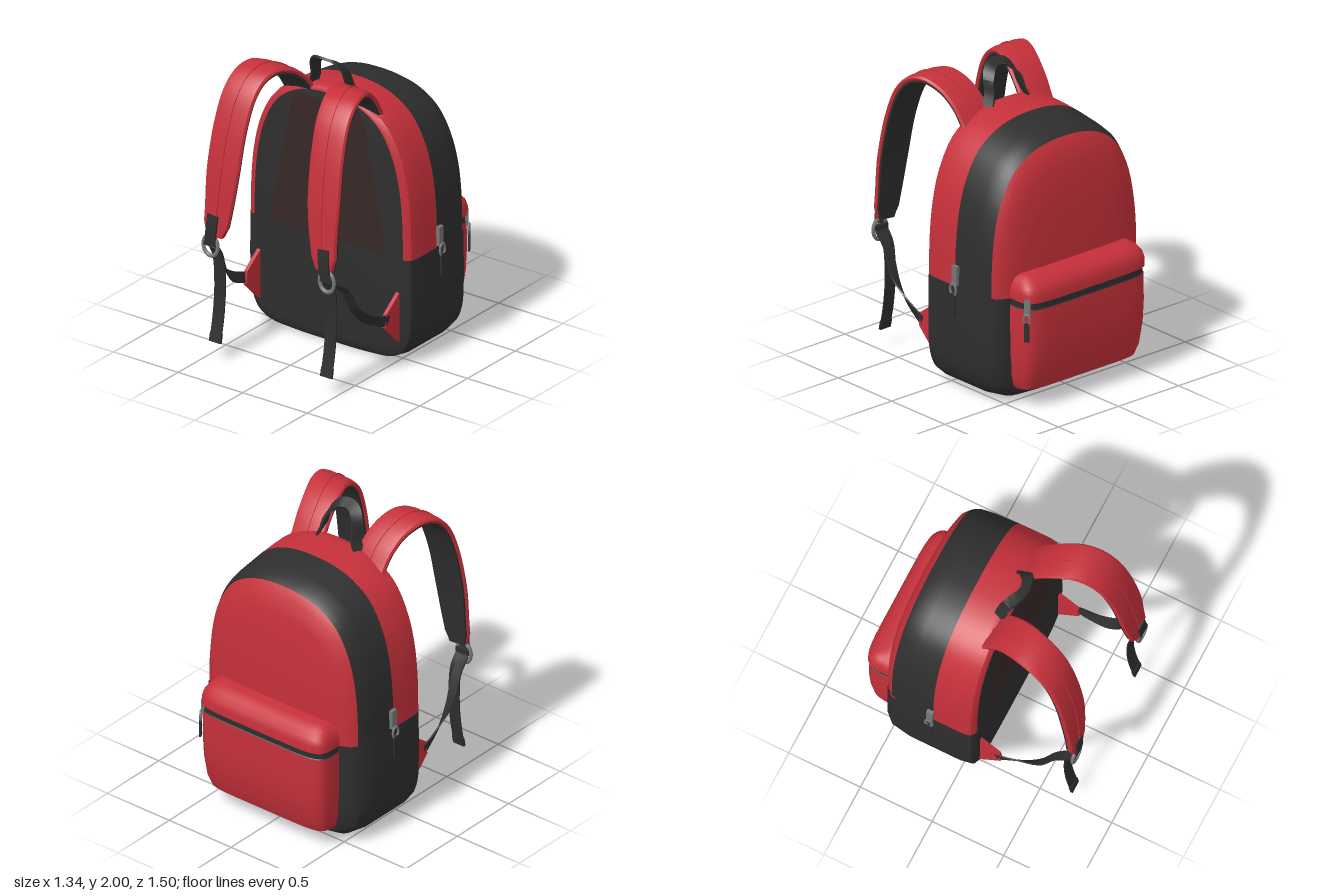
import * as THREE from 'three';
import { toCreasedNormals } from 'three/addons/utils/BufferGeometryUtils.js';

const mat = (name, color) => new THREE.MeshStandardMaterial({ name, color, side: THREE.DoubleSide });
const V = (x, y, z) => new THREE.Vector3(x, y, z);

// Skin a surface over a list of equal-length rings of points
function loft(rings, closed = false, crease = 0.6) {
  const n = rings[0].length, pos = [], idx = [];
  rings.forEach(r => r.forEach(p => pos.push(p.x, p.y, p.z)));
  for (let i = 0; i < rings.length - 1; i++) {
    for (let j = 0; j < (closed ? n : n - 1); j++) {
      const a = i * n + j, b = i * n + (j + 1) % n;
      idx.push(a, b, a + n, b, b + n, a + n);
    }
  }
  const g = new THREE.BufferGeometry();
  g.setAttribute('position', new THREE.Float32BufferAttribute(pos, 3));
  g.setIndex(idx);
  return toCreasedNormals(g, crease);
}

const RECT = [[-0.5, -0.5], [0.5, -0.5], [0.5, 0.5], [-0.5, 0.5]];
const PADDED = [[-0.47, -0.5], [0.47, -0.5], [0.5, -0.1], [0.46, 0.3], [0.3, 0.5],
  [-0.3, 0.5], [-0.46, 0.3], [-0.5, -0.1]];

// Sweep a flat section along a path; dir(t) is the width direction
function ribbon(points, { width, thick, dir = () => V(1, 0, 0), offset = 0, section = RECT, steps = 24 }) {
  const curve = new THREE.CatmullRomCurve3(points.map(p => V(...p)));
  const rings = [];
  for (let i = 0; i <= steps; i++) {
    const t = i / steps, p = curve.getPoint(t), T = curve.getTangent(t);
    const W = dir(t).addScaledVector(T, -dir(t).dot(T)).normalize();
    const N = T.clone().cross(W);
    const w = typeof width === 'function' ? width(t) : width;
    const c = p.clone().addScaledVector(N, offset);
    const ring = section.map(([u, v]) => c.clone().addScaledVector(W, u * w).addScaledVector(N, v * thick));
    const cap = section.map(() => c.clone());
    if (i === 0) rings.push(cap);
    rings.push(ring);
    if (i === steps) rings.push(cap);
  }
  return loft(rings, true);
}

// Half outlines of the body above and below the seam, mirrored across x
const SEAM = 0.73;
function outline(half) {
  const pts = [...half, ...half.slice(0, -1).reverse().map(([x, y]) => [-x, y])];
  return new THREE.CatmullRomCurve3(pts.map(([x, y]) => V(x, y, 0))).getPoints(48);
}
const UPPER = outline([[0.632, SEAM], [0.625, 1.0], [0.6, 1.22], [0.545, 1.42], [0.44, 1.6], [0.3, 1.7], [0.15, 1.745], [0, 1.755]]);
const LOWER = outline([[0.632, SEAM], [0.635, 0.4], [0.622, 0.2], [0.57, 0.08], [0.48, 0.025], [0.3, 0.005], [0, 0]]);

// Stations are [z, x scale, y scale], scaled about the seam
const shell = (line, stations) => loft(stations.map(([z, sx, sy]) =>
  line.map(p => V(p.x * sx, SEAM + (p.y - SEAM) * sy, z))));

export function createModel() {
  const red = mat('red fabric', 0xc5303a), black = mat('black fabric', 0x2e2e2e);
  const brown = mat('dark brown mesh', 0x372726), grey = mat('grey metal', 0x777777);
  const model = new THREE.Group();
  model.name = 'backpack';
  const add = (parent, name, geo, m, x = 0, y = 0, z = 0) => {
    const mesh = new THREE.Mesh(geo, m);
    mesh.name = name;
    mesh.position.set(x, y, z);
    parent.add(mesh);
    return mesh;
  };

  // Main body
  add(model, 'lowerBody', shell(LOWER, [[0.105, 0, 0], [0.105, 0.9, 0.9], [0.1, 0.93, 0.94], [0.08, 0.98, 0.985],
    [0, 1, 1], [-0.35, 1, 1], [-0.48, 0.97, 0.98], [-0.53, 0.9, 0.94], [-0.55, 0.78, 0.86], [-0.555, 0, 0]]), black);
  add(model, 'backPad', shell(UPPER, [[0.105, 0, 0], [0.105, 0.87, 0.93], [0.1, 0.91, 0.965]]), black);
  add(model, 'redGusset', shell(UPPER, [[0.1, 0.91, 0.965], [0.095, 0.95, 0.98], [0.075, 0.985, 0.995], [0.03, 1, 1],
    [-0.08, 1, 0.995], [-0.18, 1, 0.985]]), red);
  add(model, 'blackBand', shell(UPPER, [[-0.18, 1, 0.985], [-0.35, 0.995, 0.96], [-0.44, 0.98, 0.94], [-0.485, 0.95, 0.91]]), black);
  add(model, 'frontPanel', shell(UPPER, [[-0.485, 0.95, 0.91], [-0.52, 0.91, 0.86], [-0.55, 0.82, 0.75],
    [-0.57, 0.65, 0.55], [-0.58, 0.4, 0.3], [-0.58, 0, 0]]), red);

  // Mesh inset on the back pad
  const inset = new THREE.Shape([[-0.45, 0.735], [0.45, 0.735], [0.36, 1.2], [0.28, 1.6], [0.23, 1.665],
    [-0.23, 1.665], [-0.28, 1.6], [-0.36, 1.2]].map(p => new THREE.Vector2(...p)));
  add(model, 'backInset', new THREE.ShapeGeometry(inset), brown, 0, 0, 0.109);

  // Rear pocket: U-shaped rings [y, half width, rear z]
  const pocket = levels => loft(levels.map(([y, w, z]) => {
    const ring = [];
    for (let i = 0; i <= 32; i++) {
      const a = Math.PI * i / 32, c = Math.cos(a), s = Math.sin(a);
      ring.push(V(w * Math.sign(c) * Math.abs(c) ** 0.3, y, -0.5 + (z + 0.5) * s ** 0.3));
    }
    return ring;
  }));
  add(model, 'pocketBody', pocket([[0.1, 0, -0.5], [0.1, 0.44, -0.6], [0.125, 0.465, -0.68], [0.2, 0.485, -0.71],
    [0.35, 0.497, -0.735], [0.5, 0.5, -0.745], [0.68, 0.5, -0.74]]), red);
  add(model, 'pocketZip', pocket([[0.68, 0.5, -0.74], [0.685, 0.495, -0.735], [0.725, 0.495, -0.735], [0.73, 0.505, -0.748]]), black);
  add(model, 'pocketTop', pocket([[0.73, 0.505, -0.748], [0.78, 0.505, -0.747], [0.82, 0.495, -0.735], [0.86, 0.47, -0.7],
    [0.882, 0.43, -0.64], [0.885, 0, -0.5]]), red);

  // Carry handle
  const handleHalf = [[-0.18, 1.7, 0.04], [-0.135, 1.8, 0.055], [-0.11, 1.9, 0.09], [-0.06, 1.96, 0.13]];
  add(model, 'carryHandle', ribbon([...handleHalf, [0, 1.972, 0.145],
    ...handleHalf.slice().reverse().map(([x, y, z]) => [-x, y, z])],
  { width: 0.075, thick: 0.016, dir: () => V(0, 0.5, 0.8), steps: 32 }), black);

  // Zip slider with a hanging tag
  const zipPull = (parent, x, y, z) => {
    const g = new THREE.Group();
    g.name = 'zipPull';
    g.position.set(x, y, z);
    add(g, 'slider', new THREE.BoxGeometry(0.025, 0.13, 0.045), grey, 0, -0.01, 0);
    const loop = add(g, 'pullLoop', new THREE.TorusGeometry(0.026, 0.008, 6, 14), grey, 0.02, -0.1, 0);
    loop.rotation.y = Math.PI / 2;
    loop.scale.y = 1.5;
    add(g, 'pullTag', new THREE.BoxGeometry(0.014, 0.15, 0.038), black, 0.022, -0.2, 0);
    parent.add(g);
    return g;
  };
  const pocketPull = zipPull(model, 0.48, 0.71, -0.69);
  pocketPull.rotation.y = 0.5;
  pocketPull.scale.setScalar(0.85);

  // Parts repeated on both sides
  const strapPath = [[0.25, 1.67, 0.02], [0.262, 1.79, 0.1], [0.285, 1.885, 0.21], [0.32, 1.93, 0.34], [0.345, 1.9, 0.46],
    [0.36, 1.8, 0.56], [0.375, 1.6, 0.64], [0.39, 1.3, 0.7], [0.405, 1.05, 0.725], [0.425, 0.86, 0.738]];
  const strapWidth = t => 0.25 - 0.06 * THREE.MathUtils.smoothstep(t, 0.75, 0.97) - 0.06 * THREE.MathUtils.smoothstep(t, 0.95, 1);
  for (const side of [1, -1]) {
    const g = new THREE.Group();
    g.name = side > 0 ? 'leftSide' : 'rightSide';
    g.scale.x = side;
    model.add(g);

    // Padded shoulder strap with lining and centre ridge
    add(g, 'shoulderStrap', ribbon(strapPath, { width: strapWidth, thick: 0.036, offset: -0.018, section: PADDED, steps: 44 }), red);
    add(g, 'strapLining', ribbon(strapPath, { width: t => strapWidth(t) * 0.9, thick: 0.016, offset: -0.042, steps: 44 }), black);
    add(g, 'strapRidge', ribbon(strapPath, { width: 0.012, thick: 0.008, offset: 0.002, steps: 44 }), red);

    // Buckle tab, ring and hanging webbing
    add(g, 'buckleTab', ribbon([[0.428, 1.0, 0.734], [0.435, 0.9, 0.742], [0.445, 0.82, 0.738]], { width: 0.08, thick: 0.012, steps: 6 }), black);
    const ring = add(g, 'buckleRing', new THREE.TorusGeometry(0.056, 0.012, 8, 24), grey, 0.45, 0.785, 0.728);
    ring.scale.y = 1.25;
    add(g, 'buckleBar', new THREE.BoxGeometry(0.1, 0.035, 0.03), black, 0.45, 0.8, 0.722);
    add(g, 'hangingWebbing', ribbon([[0.445, 0.79, 0.715], [0.435, 0.7, 0.67], [0.43, 0.5, 0.655], [0.43, 0.3, 0.67], [0.43, 0.12, 0.705]],
      { width: 0.085, thick: 0.008 }), black);
    const hem = add(g, 'webbingHem', new THREE.BoxGeometry(0.088, 0.06, 0.016), black, 0.43, 0.145, 0.7);
    hem.rotation.x = -0.2;

    // Lower adjusting webbing, twisting from flat to upright
    add(g, 'lowerWebbing', ribbon([[0.46, 0.77, 0.71], [0.49, 0.7, 0.61], [0.51, 0.54, 0.52], [0.52, 0.44, 0.42], [0.54, 0.37, 0.28], [0.548, 0.35, 0.22]],
      { width: 0.07, thick: 0.01, dir: t => V(1 - t, 1.6 * t, 0.5 * t) }), black);

    // Triangular anchor tab
    const tab = new THREE.Shape([[-0.08, 0.52], [-0.08, 0.14], [-0.25, 0.31], [-0.24, 0.4]].map(p => new THREE.Vector2(...p)));
    const anchor = add(g, 'anchorTab', new THREE.ExtrudeGeometry(tab, { depth: 0.025, bevelEnabled: false }), red, 0.525, 0, 0);
    anchor.rotation.y = Math.PI / 2;

    zipPull(g, 0.642, 0.82, -0.195);
  }
  return model;
}
